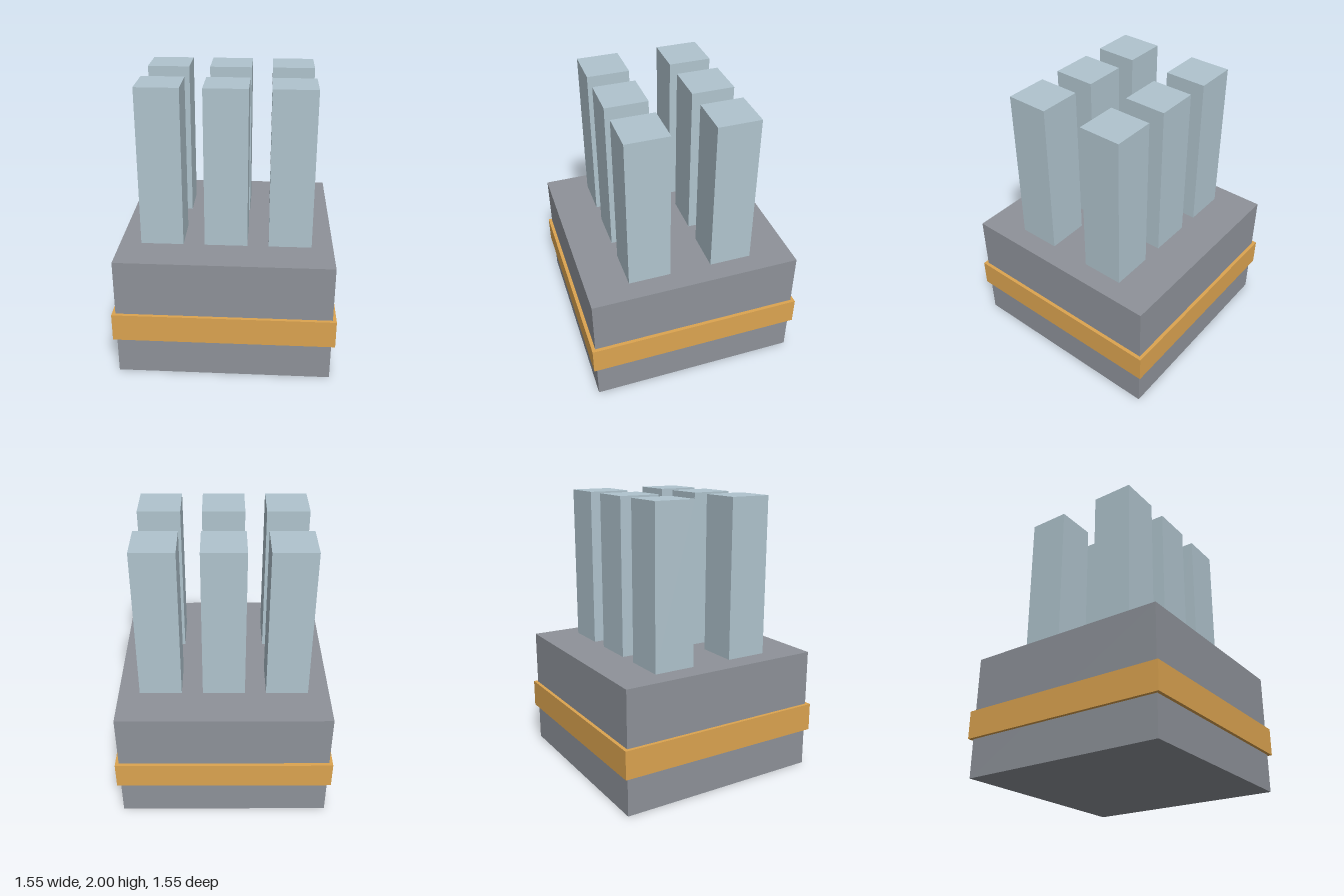
import * as THREE from 'three';

export function createModel() {
  const group = new THREE.Group();
  const grey = new THREE.MeshStandardMaterial({ color: 0x8e9299 });
  const amber = new THREE.MeshStandardMaterial({ color: 0xdca450 });
  const paleBlue = new THREE.MeshStandardMaterial({ color: 0xb0c4ce });

  // Box standing on y = bottom
  function addBox(name, material, width, bottom, top, x = 0, z = 0) {
    const mesh = new THREE.Mesh(new THREE.BoxGeometry(width, top - bottom, width), material);
    mesh.position.set(x, (bottom + top) / 2, z);
    mesh.name = name;
    group.add(mesh);
  }

  // Square base with a slightly wider band around it
  addBox('base', grey, 1.5, 0, 0.875);
  addBox('band', amber, 1.55, 0.275, 0.475);

  // Two rows of three square pillars
  for (const z of [0.3, -0.3]) {
    for (const x of [-0.45, 0, 0.45]) addBox('pillar', paleBlue, 0.3, 0.875, 2, x, z);
  }

  return group;
}
